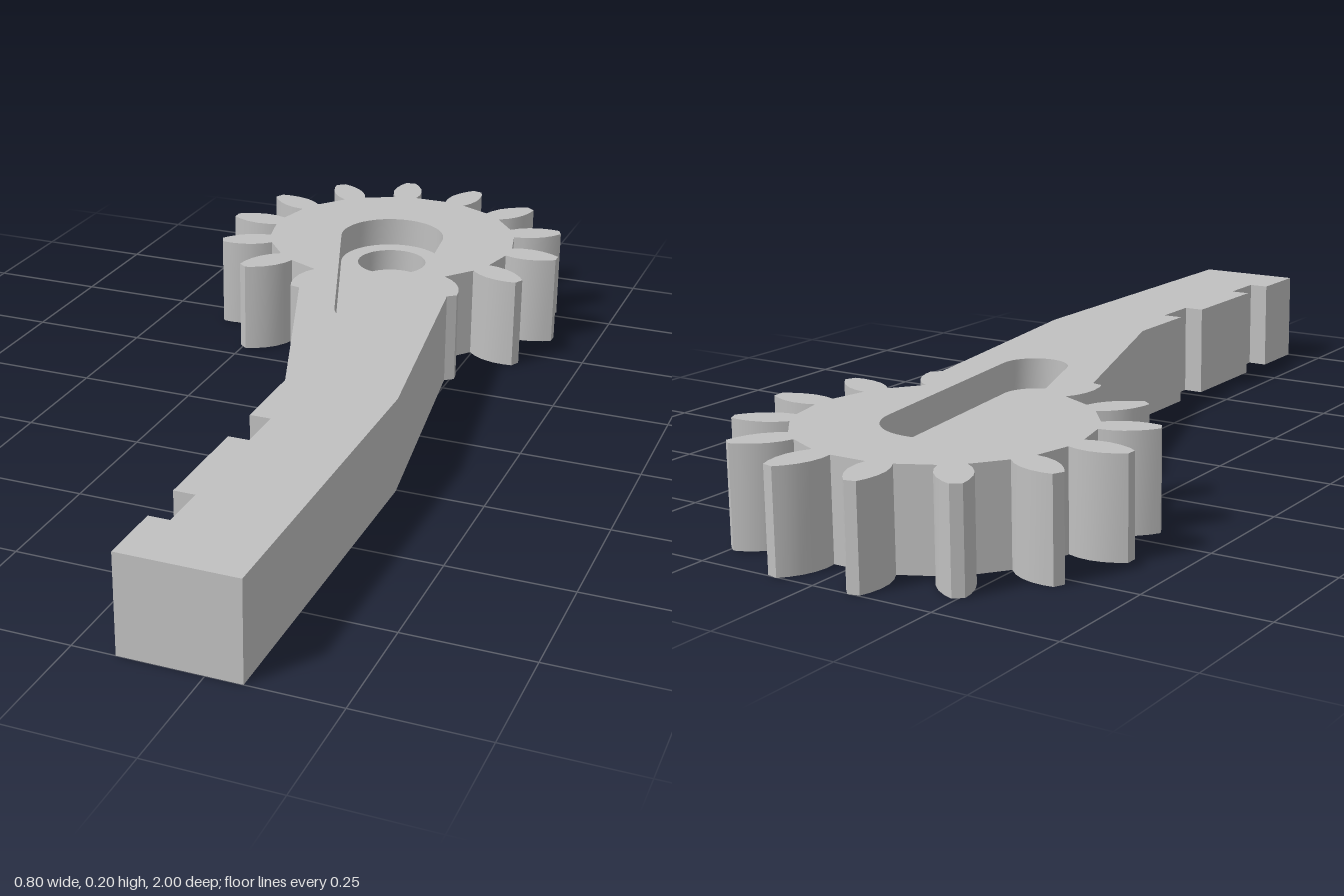
import * as THREE from 'three';
import { toCreasedNormals } from 'three/addons/utils/BufferGeometryUtils.js';

const GEAR_Z = -0.61, TEETH = 14;
const HEIGHT = 0.2, POCKET_Y = 0.135, BORE_Y = 0.085;

// All plan outlines are lists of Vector2(x, z)
const P = (x, z) => new THREE.Vector2(x, z);

function arc(cx, cz, r, from, to, n) {
  return Array.from({ length: n + 1 }, (_, i) => {
    const a = from + (to - from) * i / n;
    return P(cx + r * Math.cos(a), cz + r * Math.sin(a));
  });
}
const circle = (r) => arc(0, GEAR_Z, r, 0, Math.PI * 2, 48).slice(0, -1);

// Gear teeth running round the back, closed at the front by the notched arm
function bodyOutline() {
  // radius and half width of a tooth, from root to tip
  const flank = [[0.287, 0.026], [0.31, 0.033], [0.335, 0.035], [0.36, 0.031], [0.383, 0.022], [0.4, 0.0115]];
  const pts = [];
  const first = 4, last = first + TEETH - 2;
  for (let k = first; k <= last; k++) {
    const mid = k * Math.PI * 2 / TEETH;
    const at = (r, w) => P(r * Math.cos(mid + w / r), GEAR_Z + r * Math.sin(mid + w / r));
    const rise = flank.map(([r, w]) => at(r, -w));
    const fall = flank.map(([r, w]) => at(r, w)).reverse();
    pts.push(...(k === first ? rise.slice(-1) : rise));
    pts.push(...(k === last ? fall.slice(0, 1) : fall));
  }
  pts.push(P(0.32, 0.255), P(0.32, 1), P(0.085, 1));
  for (const z of [0.865, 0.53]) {
    pts.push(P(0.085, z), P(0.128, z), P(0.128, z - 0.1), P(0.085, z - 0.1));
  }
  pts.push(P(0.085, 0.255));
  return pts;
}

// Teardrop hull of a large circle on the gear axis and a small one on the arm
function pocketOutline() {
  const R = 0.12, r = 0.07, cx = 0.105, cz = -0.155;
  const dir = Math.atan2(cz - GEAR_Z, cx);
  const tangent = Math.acos((R - r) / Math.hypot(cx, cz - GEAR_Z));
  return [
    ...arc(0, GEAR_Z, R, dir + tangent, dir + Math.PI * 2 - tangent, 32),
    ...arc(cx, cz, r, dir - tangent, dir + tangent, 20),
  ];
}

// Vertical wall along a closed outline, facing out or into a recess
function wall(outline, y0, y1, outward) {
  const pts = outline.slice();
  if ((THREE.ShapeUtils.area(pts) < 0) !== outward) pts.reverse();
  const v = [];
  pts.forEach((a, i) => {
    const b = pts[(i + 1) % pts.length];
    v.push(a.x, y0, a.y, b.x, y0, b.y, b.x, y1, b.y);
    v.push(a.x, y0, a.y, b.x, y1, b.y, a.x, y1, a.y);
  });
  const g = new THREE.BufferGeometry();
  g.setAttribute('position', new THREE.Float32BufferAttribute(v, 3));
  return toCreasedNormals(g, Math.PI / 7);
}

// Horizontal face with a hole, facing up or down
function face(outline, hole, y, up) {
  const s = up ? -1 : 1;
  const flat = (pts) => pts.map((p) => P(p.x, p.y * s));
  const shape = new THREE.Shape(flat(outline));
  shape.holes.push(new THREE.Path(flat(hole)));
  return new THREE.ShapeGeometry(shape).rotateX(s * Math.PI / 2).translate(0, y, 0);
}

export function createModel() {
  const grey = new THREE.MeshStandardMaterial({ color: 0xc0c0c0 });
  grey.name = 'grey';
  const group = new THREE.Group();
  group.name = 'gearLever';
  const add = (name, geometry) => {
    const mesh = new THREE.Mesh(geometry, grey);
    mesh.name = name;
    group.add(mesh);
  };

  const body = bodyOutline(), pocket = pocketOutline();
  const bore = circle(0.08), hole = circle(0.042);

  // Gear and arm
  add('bodySides', wall(body, 0, HEIGHT, true));
  add('bodyTop', face(body, pocket, HEIGHT, true));
  add('bodyBottom', face(body, hole, 0, false));
  // Stepped recess down to the axle hole
  add('pocketWall', wall(pocket, POCKET_Y, HEIGHT, false));
  add('pocketFloor', face(pocket, bore, POCKET_Y, true));
  add('counterboreWall', wall(bore, BORE_Y, POCKET_Y, false));
  add('counterboreFloor', face(bore, hole, BORE_Y, true));
  add('axleHoleWall', wall(hole, 0, BORE_Y, false));
  return group;
}
